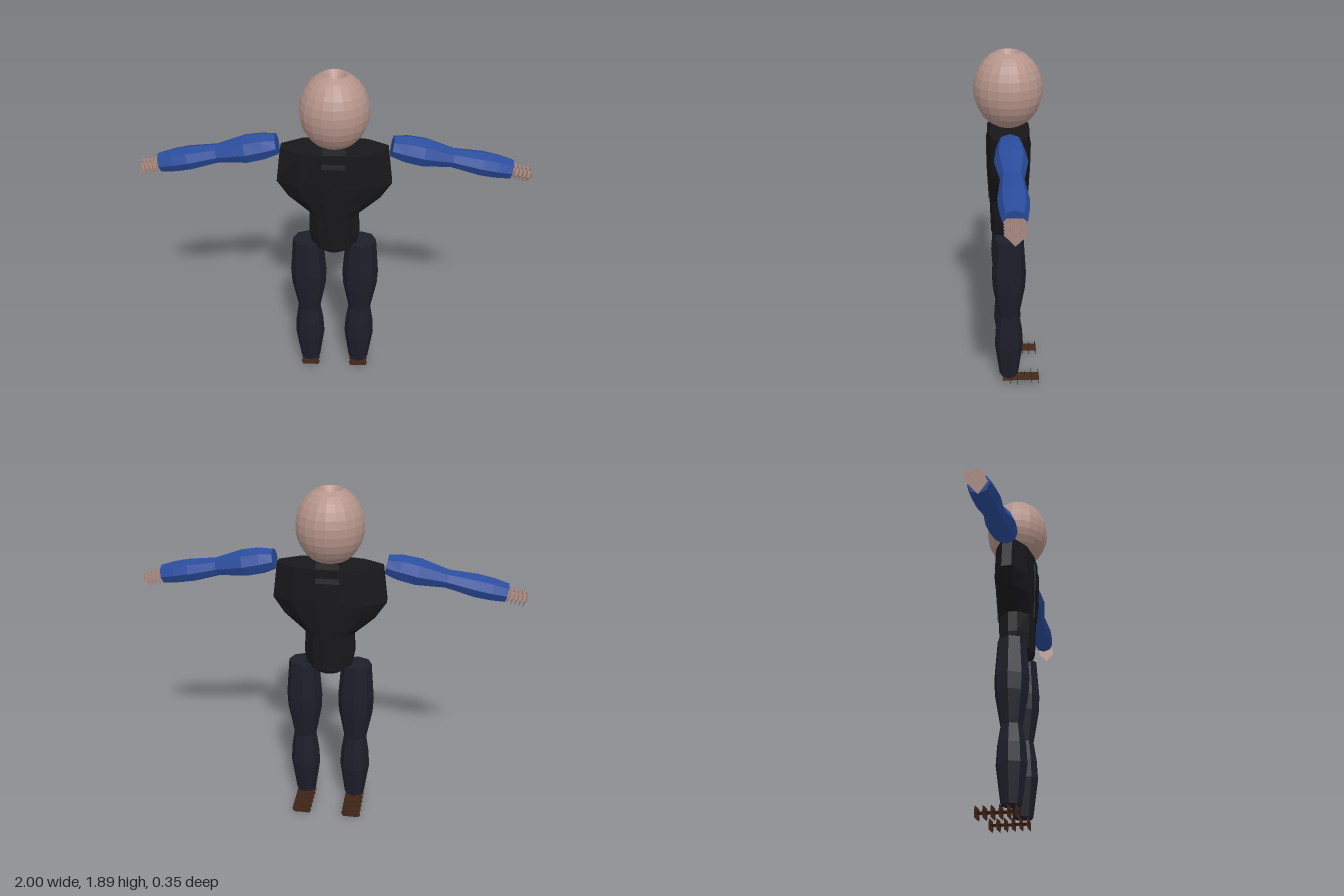
import * as THREE from 'three';

const material = (color, side = THREE.FrontSide) =>
  new THREE.MeshStandardMaterial({ color, side, flatShading: true });

const skin = material(0xb5948a, THREE.DoubleSide);
const shirt = material(0x18181b);
const sleeve = material(0x2a4c9c);
const trousers = material(0x1e1e2a);
const shoe = material(0x45291a, THREE.DoubleSide);

// Closed loft along y through rings [y, halfWidth, halfDepth] of a unit section
function loft(section, rings) {
  const n = section.length, pos = [];
  const at = (i, j) => {
    const [y, rx, rz] = rings[i], [u, v] = section[j % n];
    return [u * rx, y, v * rz];
  };
  const top = rings.length - 1;
  for (let j = 0; j < n; j++) {
    for (let i = 0; i < top; i++) {
      const a = at(i, j), b = at(i, j + 1), c = at(i + 1, j + 1), d = at(i + 1, j);
      pos.push(...a, ...d, ...b, ...b, ...d, ...c);
    }
    pos.push(0, rings[0][0], 0, ...at(0, j), ...at(0, j + 1));
    pos.push(0, rings[top][0], 0, ...at(top, j + 1), ...at(top, j));
  }
  const g = new THREE.BufferGeometry();
  g.setAttribute('position', new THREE.Float32BufferAttribute(pos, 3));
  g.computeVertexNormals();
  return g;
}

const polygon = (n) => Array.from({ length: n }, (_, i) => {
  const a = (i / n) * Math.PI * 2;
  return [Math.cos(a), Math.sin(a)];
});

// Flat outline in the xy plane
const plate = (points) =>
  new THREE.ShapeGeometry(new THREE.Shape(points.map(([x, y]) => new THREE.Vector2(x, y))));

function add(parent, name, geometry, mat) {
  const mesh = new THREE.Mesh(geometry, mat);
  mesh.name = name;
  parent.add(mesh);
  return mesh;
}

function makeArm() {
  const arm = new THREE.Group();
  add(arm, 'sleeve', loft(polygon(8), [
    [0, 0.053, 0.06], [0.07, 0.07, 0.072], [0.16, 0.073, 0.08], [0.31, 0.049, 0.055],
    [0.46, 0.062, 0.07], [0.54, 0.06, 0.066], [0.617, 0.05, 0.055],
  ]), sleeve);

  // Hand: two thin side sheets and a row of pointed cross plates
  const hand = new THREE.Group();
  hand.name = 'hand';
  arm.add(hand);
  for (const z of [-0.022, 0.022]) {
    const palm = add(hand, 'palmSheet', new THREE.PlaneGeometry(0.04, 0.105), skin);
    palm.position.set(0, 0.667, z);
  }
  const outline = [[-0.02, -0.035], [0, -0.05], [0.03, -0.025], [0.06, 0],
    [0.03, 0.025], [0, 0.05], [-0.02, 0.035]];
  for (let i = 0; i < 5; i++) {
    const finger = add(hand, 'fingerPlate', plate(outline).rotateX(Math.PI / 2), skin);
    finger.position.y = 0.632 + i * 0.021;
  }
  arm.position.set(0.29, 1.51, 0);
  arm.rotation.z = -THREE.MathUtils.degToRad(101);

  const side = new THREE.Group();
  side.add(arm);
  return side;
}

function makeLeg() {
  const leg = new THREE.Group();
  add(leg, 'trouserLeg', loft(polygon(8), [
    [0.06, 0.057, 0.053], [0.26, 0.085, 0.08], [0.36, 0.079, 0.074], [0.46, 0.064, 0.058],
    [0.63, 0.096, 0.088], [0.72, 0.1, 0.093], [0.93, 0.083, 0.078],
  ]), trousers);

  // Foot: flat sheet running backward, crossed by upright plates
  const foot = new THREE.Group();
  foot.name = 'foot';
  leg.add(foot);
  const sole = add(foot, 'footSheet', new THREE.PlaneGeometry(0.075, 0.21).rotateX(-Math.PI / 2), shoe);
  sole.position.set(0, 0.03, -0.07);
  const outline = [[-0.045, 0], [0.045, 0], [0.056, 0.02], [0.045, 0.06], [-0.045, 0.06], [-0.056, 0.02]];
  for (let i = 0; i < 6; i++) {
    add(foot, 'footPlate', plate(outline), shoe).position.z = 0.03 - i * 0.04;
  }
  return leg;
}

export function createModel() {
  const model = new THREE.Group();

  // Head: truncated ellipsoid with a small funnel in the crown
  const profile = [];
  for (let i = 0; i <= 13; i++) {
    const a = -Math.PI / 2 + (i / 13) * (Math.PI / 2 + 1.21);
    profile.push(new THREE.Vector2(Math.max(0, 0.175 * Math.cos(a)), 1.7 + 0.2 * Math.sin(a)));
  }
  profile.push(new THREE.Vector2(0.03, 1.84), new THREE.Vector2(0, 1.81));
  add(model, 'head', new THREE.LatheGeometry(profile, 20), skin);

  // Chest: broad faceted section that thins toward the shoulders
  const quarter = [[1, 0.25], [0.62, 0.82], [0.2, 1]];
  const half = [...quarter, ...quarter.map(([x, z]) => [-x, z]).reverse()];
  const chest = [...half, ...half.map(([x, z]) => [x, -z]).reverse()];
  add(model, 'chest', loft(chest, [
    [1.12, 0.13, 0.1], [1.22, 0.24, 0.105], [1.31, 0.298, 0.11], [1.5, 0.273, 0.108],
  ]), shirt);
  add(model, 'waist', loft(chest, [
    [0.9, 0.075, 0.085], [0.92, 0.12, 0.093], [1.0, 0.135, 0.096], [1.13, 0.13, 0.1],
  ]), shirt);

  // Central strip that rises into the neck
  const square = [[1, 1], [-1, 1], [-1, -1], [1, -1]];
  add(model, 'neckStrip', loft(square, [
    [1.12, 0.038, 0.104], [1.3, 0.055, 0.113], [1.43, 0.06, 0.115], [1.53, 0.06, 0.09],
  ]), shirt);

  for (const s of [1, -1]) {
    const name = s > 0 ? 'left' : 'right';
    const arm = makeArm();
    arm.name = name + 'Arm';
    arm.rotation.y = s > 0 ? 0 : Math.PI;
    const leg = makeLeg();
    leg.name = name + 'Leg';
    leg.position.x = s * 0.145;
    model.add(arm, leg);
  }
  return model;
}
